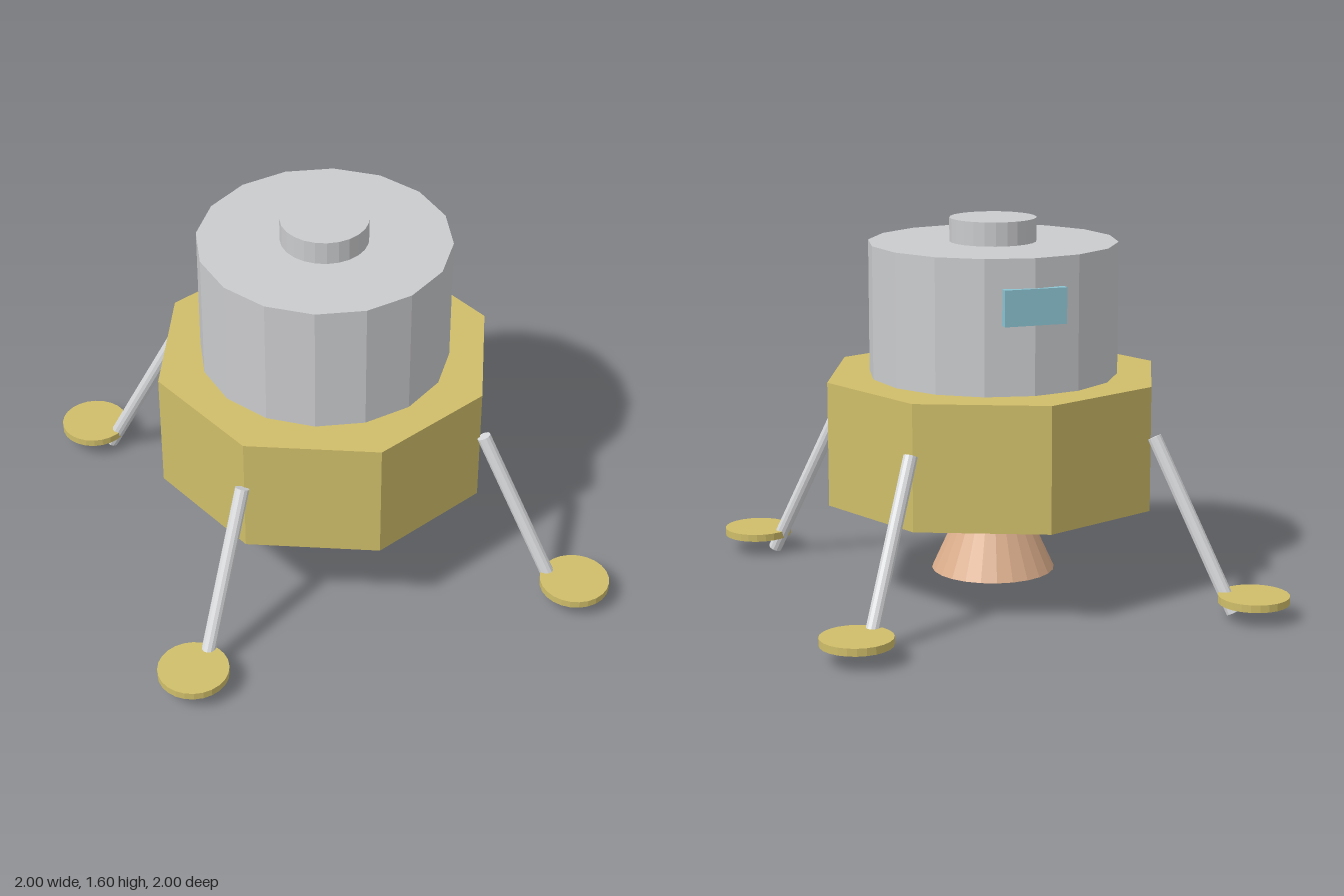
import * as THREE from 'three';

const paint = (name, color) => {
  const m = new THREE.MeshStandardMaterial({ color });
  m.name = name;
  return m;
};

export function createModel() {
  const model = new THREE.Group();
  model.name = 'lander';

  const gold = paint('gold foil', 0xd0be6a);
  const grey = paint('cabin grey', 0xcacbcd);
  const silver = paint('strut silver', 0xdadbdd);
  const copper = paint('nozzle copper', 0xdcae8c);
  const glass = paint('window blue', 0x8cc4d2);

  // Faceted drum between two heights
  const drum = (name, mat, rTop, rBottom, y0, y1, sides, parent = model) => {
    const geo = new THREE.CylinderGeometry(rTop, rBottom, y1 - y0, sides).toNonIndexed();
    geo.computeVertexNormals();
    const mesh = new THREE.Mesh(geo, mat);
    mesh.name = name;
    mesh.position.y = (y0 + y1) / 2;
    parent.add(mesh);
    return mesh;
  };

  // Body stack
  drum('descentStage', gold, 0.733, 0.733, 0.405, 0.937, 8);
  drum('cabin', grey, 0.532, 0.532, 0.937, 1.503, 16);
  drum('hatch', grey, 0.185, 0.185, 1.503, 1.604, 24);
  drum('engineNozzle', copper, 0.11, 0.266, 0.07, 0.41, 24);

  // Window at the back of the cabin
  const win = new THREE.Mesh(new THREE.BoxGeometry(0.266, 0.15, 0.036), glass);
  win.name = 'window';
  win.position.set(0, 1.305, -0.525);
  model.add(win);

  // Four splayed legs with round pads
  const up = new THREE.Vector3(0, 1, 0);
  for (const sx of [1, -1]) {
    for (const sz of [1, -1]) {
      const leg = new THREE.Group();
      leg.name = `${sz > 0 ? 'front' : 'back'}${sx > 0 ? 'Left' : 'Right'}Leg`;
      model.add(leg);

      const top = new THREE.Vector3(sx * 0.53, 0.726, sz * 0.53);
      const foot = new THREE.Vector3(sx * 0.788, 0.0135, sz * 0.788);
      const axis = top.clone().sub(foot);
      const strut = drum('strut', silver, 0.03, 0.03, 0, axis.length(), 12, leg);
      strut.position.copy(top).add(foot).multiplyScalar(0.5);
      strut.quaternion.setFromUnitVectors(up, axis.normalize());

      const pad = drum('footPad', gold, 0.149, 0.149, 0.07, 0.102, 24, leg);
      pad.position.x = sx * 0.851;
      pad.position.z = sz * 0.851;
    }
  }
  return model;
}
